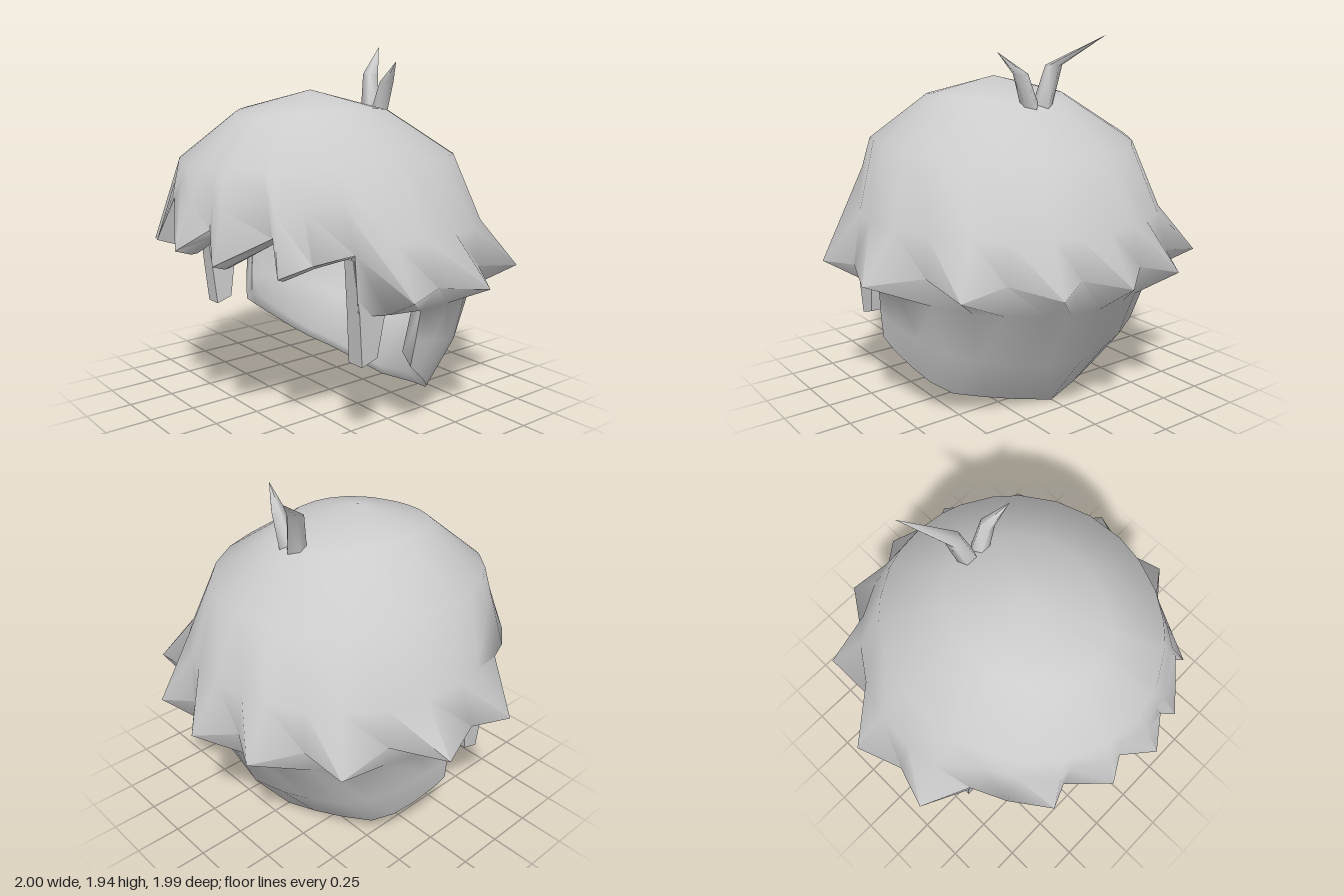
import * as THREE from 'three';
import { toCreasedNormals } from 'three/addons/utils/BufferGeometryUtils.js';

const hair = new THREE.MeshStandardMaterial({ color: 0xcccccc, side: THREE.DoubleSide });
hair.name = 'hair grey';

const mirror = (p) => [-p[0], p[1], p[2]];
const mix = (a, b, t) => a.map((v, i) => v + (b[i] - v) * t);
const inset = (p, dy) => [p[0] * 0.92, p[1] + dy, p[2] * 0.92];

// Skins a closed ring of columns (running back, +x, front, -x), each a list of points going down.
function skin(name, cols, crease) {
  const pos = [];
  const tri = (a, b, c) => {
    const [A, B, C] = [a, b, c].map((p) => new THREE.Vector3(...p));
    if (B.sub(A).cross(C.sub(A)).length() > 1e-7) pos.push(...a, ...b, ...c);
  };
  cols.forEach((p, i) => {
    const q = cols[(i + 1) % cols.length];
    for (let j = 0; j < p.length - 1; j++) {
      tri(p[j], q[j], p[j + 1]);
      tri(q[j], q[j + 1], p[j + 1]);
    }
  });
  const geo = new THREE.BufferGeometry();
  geo.setAttribute('position', new THREE.Float32BufferAttribute(pos, 3));
  const mesh = new THREE.Mesh(toCreasedNormals(geo, crease), hair);
  mesh.name = name;
  return mesh;
}

// Spikes and notches from the back centre round to the side
const spikes = [
  [0, 0.79, -0.99], [0.19, 0.83, -0.84], [0.37, 0.79, -0.93], [0.52, 0.83, -0.7],
  [0.76, 0.79, -0.68], [0.76, 0.83, -0.38], [1, 0.79, -0.2], [0.91, 0.82, 0.06],
];
// Lower rim of the nape beneath each of them
const rim = [
  [0, 0.005, -0.4], [0.19, 0.045, -0.36], [0.37, 0.09, -0.31], [0.53, 0.13, -0.245],
  [0.62, 0.19, -0.165], [0.68, 0.26, -0.08], [0.73, 0.34, 0.02], [0.75, 0.39, 0.08],
];
// Fringe, from left temple to right temple
const fringe = [
  [0.74, 1.0, 0.43], [0.66, 0.96, 0.61], [0.6, 0.91, 0.76], [0.52, 1.08, 0.73], [0.32, 0.94, 0.93],
  [0.22, 1.09, 0.88], [0.085, 0.98, 0.995], [-0.12, 1.2, 0.88], [-0.2, 0.98, 0.945],
  [-0.4, 1.08, 0.77], [-0.5, 0.92, 0.81], [-0.65, 0.96, 0.61], [-0.74, 1.0, 0.43],
];

// One column: crown, edge, underside, nape (if any), and back up the inside
function column(edge, { isFringe = false, under, bottom } = {}) {
  const [x, y, z] = edge;
  const r = Math.hypot(x, z), s = x / r, c = z / r;
  const ring1 = [s * 0.35, 1.63 - 0.04 * c * c, 0.115 + c * 0.435];
  const ring2 = [s * 0.69, 1.4 - 0.045 * c * c, 0.075 + c * 0.755];
  const root = z > 0.4 ? mix(ring2, edge, 0.4) : [s * 0.82, 1.03, c * 0.82];
  const hem = under || (isFringe ? [x * 0.91, y - 0.03, z * 0.91] : [s * 0.785, 0.68 - 0.05 * c * c, c * 0.765]);
  const hemIn = isFringe || z > 0.1 ? mix(hem, inset(hem, 0), 0.5) : [hem[0] * 0.92, hem[1], z > 0 ? hem[2] : hem[2] * 0.92];
  let nape = [hem, hem, hemIn, hemIn];
  if (bottom) {
    const mid = mix(hem, bottom, 0.53);
    mid[0] += 0.05 * s * Math.abs(c);
    mid[2] += 0.05 * c * Math.abs(c);
    const thin = (p, up) => [p[0] * 0.92, p[1] + up, z > 0 ? p[2] : p[2] * 0.92];
    nape = [mid, bottom, thin(bottom, 0.06), thin(mid, 0.03)];
  }
  return [[0, 1.715, 0.13], ring1, ring2, root, edge, hem, ...nape, hemIn,
    inset(root, -0.05), inset(ring2, -0.05), inset(ring1, -0.05), [0, 1.66, 0.12]];
}

// Pointed tuft along a path of [x, y, z, radius], tip first
function tuft(name, path) {
  const cols = [];
  for (let i = 0; i < 5; i++) {
    const t = i / 5 * Math.PI * 2;
    cols.push(path.map(([x, y, z, r]) => [x + r * Math.sin(t), y, z - r * Math.cos(t)]));
  }
  return skin(name, cols, 1.5);
}

// Strand in front of the ear: rows of [y, inner x, outer x, back z, front z]
function sideburn(name, side) {
  const rows = [[0.97, 0.65, 0.715, 0.3, 0.42], [0.7, 0.635, 0.73, 0.23, 0.39], [0.44, 0.62, 0.72, 0.27, 0.365]];
  const corner = (a, b) => {
    const pts = rows.map((r) => [r[a], r[0] + (b === 3 && r[0] < 0.5 ? 0.03 : 0), r[b]]);
    pts.push([0.67, 0.455, 0.315]);
    return side > 0 ? pts : pts.map(mirror);
  };
  const cols = [corner(1, 3), corner(2, 3), corner(2, 4), corner(1, 4)];
  return skin(name, side > 0 ? cols : cols.reverse(), 1.0);
}

export function createModel() {
  const group = new THREE.Group();
  group.name = 'hair';

  // Back and sides: spiky hem over the nape, then the bare hem in front of it
  const half = spikes.map((p, i) => column(p, { bottom: rim[i] }));
  half.push(
    column(spikes[7]),
    column([0.98, 0.8, 0.28], { under: [0.745, 0.68, 0.22] }),
    column([0.74, 1.0, 0.43], { under: [0.72, 0.7, 0.39] }),
  );
  const halfRight = half.slice(1).reverse().map((col) => col.map(mirror));
  const front = fringe.map((p) => column(p, { isFringe: true }));
  group.add(skin('mainHair', [...half, ...front, ...halfRight], 1.5));

  group.add(sideburn('leftSideburn', 1), sideburn('rightSideburn', -1));

  // Two tufts on the crown
  group.add(tuft('largeTuft', [[-0.21, 1.94, -0.53, 0], [-0.045, 1.79, -0.33, 0.045], [0, 1.57, -0.29, 0.055]]));
  group.add(tuft('smallTuft', [[0.25, 1.86, -0.25, 0], [0.135, 1.75, -0.29, 0.04], [0.07, 1.57, -0.29, 0.05]]));
  return group;
}
